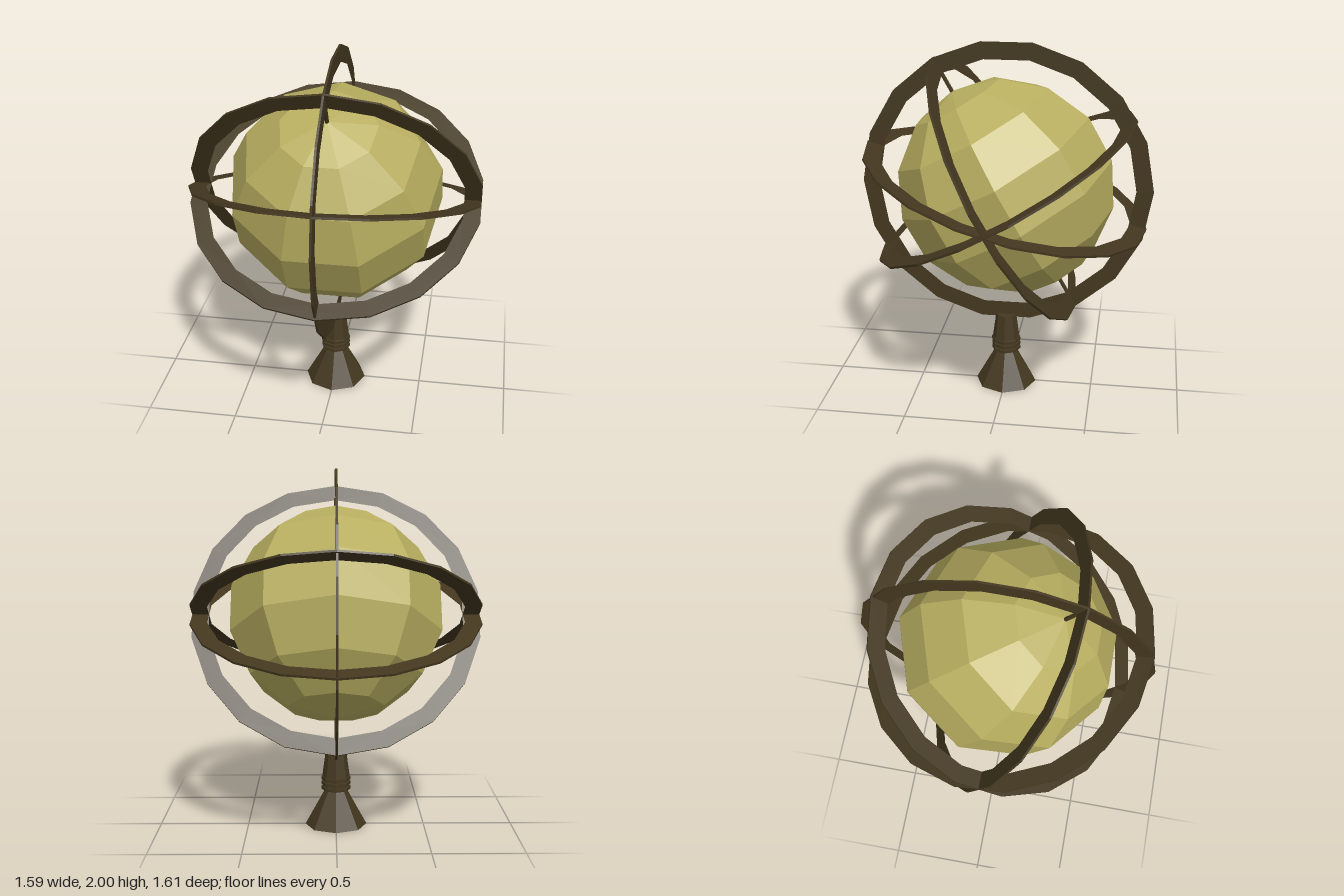
import * as THREE from 'three';

const CENTRE_Y = 1.206;
const TILT = THREE.MathUtils.degToRad(29.4);

export function createModel() {
  const model = new THREE.Group();
  model.name = 'armillarySphere';

  const bronze = new THREE.MeshStandardMaterial({ color: 0x43371f, flatShading: true });
  const ochre = new THREE.MeshStandardMaterial({ color: 0xb8ae60, flatShading: true });

  const add = (name, geometry, material, parent) => {
    const mesh = new THREE.Mesh(geometry, material);
    mesh.name = name;
    parent.add(mesh);
    return mesh;
  };

  const sphere = new THREE.Group();
  sphere.name = 'sphereAssembly';
  sphere.position.y = CENTRE_Y;
  model.add(sphere);

  // Flat 18-sided ring in the XY plane, with a corner at the top
  const polygon = (r) => Array.from({ length: 18 }, (_, i) => {
    const a = (i / 18) * Math.PI * 2;
    return new THREE.Vector2(Math.sin(a) * r, Math.cos(a) * r);
  });
  const ringGeometry = () => {
    const shape = new THREE.Shape(polygon(0.807));
    shape.holes.push(new THREE.Path(polygon(0.713)));
    const depth = 0.012;
    return new THREE.ExtrudeGeometry(shape, { depth, bevelEnabled: false }).translate(0, 0, -depth / 2);
  };

  // Upright ring seen edge-on from the front
  add('meridianRing', ringGeometry().rotateY(Math.PI / 2).rotateX(Math.PI / 2), bronze, sphere);

  // Rings that turn about the sideways axis
  const tilted = {
    polarRing: TILT,
    equatorRing: TILT + Math.PI / 2,
    eclipticRing: THREE.MathUtils.degToRad(74.1),
  };
  for (const [name, angle] of Object.entries(tilted)) {
    add(name, ringGeometry(), bronze, sphere).rotation.x = angle;
  }

  // Faceted globe and its axle
  add('globe', new THREE.SphereGeometry(0.6, 9, 7, -Math.PI / 2), ochre, sphere).rotation.x = TILT;
  add('axle', new THREE.CylinderGeometry(0.011, 0.011, 1.45, 6), bronze, sphere).rotation.x = TILT;

  // Eight-sided stand: flared foot, three collars, tapered neck
  const profile = [
    [0, 0], [0.174, 0], [0.064, 0.2], [0.083, 0.207], [0.083, 0.224], [0.074, 0.226],
    [0.074, 0.234], [0.083, 0.236], [0.083, 0.252], [0.074, 0.254], [0.074, 0.26],
    [0.083, 0.262], [0.083, 0.28], [0.078, 0.282], [0.058, 0.428], [0, 0.428],
  ].map(([r, y]) => new THREE.Vector2(r, y));
  add('stand', new THREE.LatheGeometry(profile, 8), bronze, model);

  return model;
}
